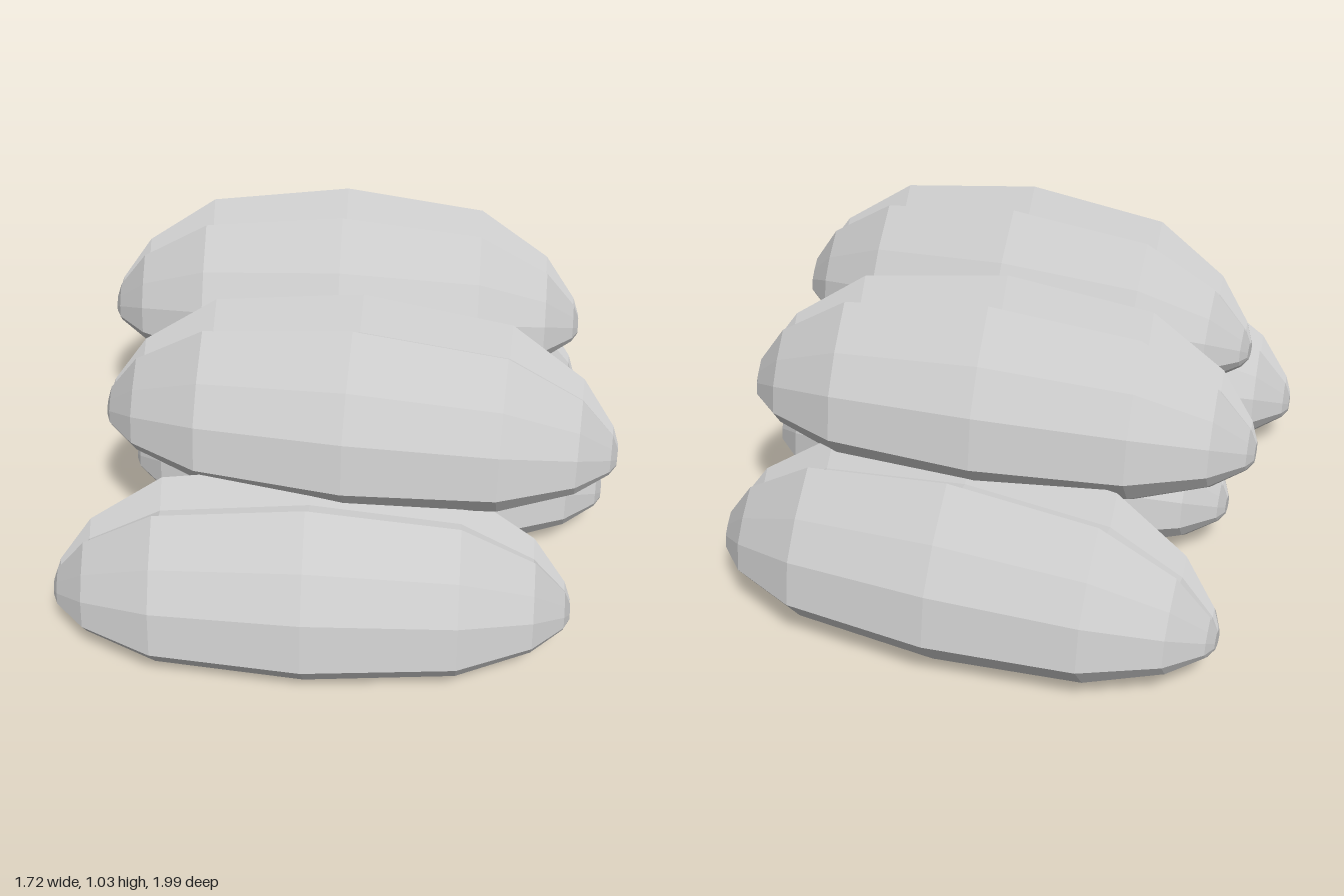
import * as THREE from 'three';

// Half cross-section at the middle of a roll: [z, y], from base up to the slit floor
const HALF = [
  [0.13, 0.0], [0.25, 0.08], [0.335, 0.19], [0.305, 0.35],
  [0.225, 0.48], [0.105, 0.617], [0.035, 0.525],
];
const RING = [...HALF, ...HALF.map(([z, y]) => [-z, y]).reverse()];

// Half of the length: [x, section scale, height of the widest line]
const ENDS = [[0.455, 0.87, 0.19], [0.68, 0.54, 0.185], [0.78, 0.23, 0.178], [0.8, 0.1, 0.175]];
const STATIONS = [
  ...ENDS.map(([x, s, y]) => [-x, s, y]).reverse(),
  [0, 1, 0.19],
  ...ENDS,
];

// Lofts the slit section along the length and closes both blunt tips
function rollGeometry() {
  const n = RING.length;
  const last = STATIONS.length - 1;
  const positions = [];
  const index = [];
  for (const [x, s, mid] of STATIONS) {
    for (const [z, y] of RING) positions.push(x, mid + (y - 0.19) * s, z * s);
  }
  for (let i = 0; i < last; i++) {
    for (let j = 0; j < n; j++) {
      const k = (j + 1) % n;
      const a = i * n + j, b = a + n, c = (i + 1) * n + k, d = i * n + k;
      index.push(a, b, c, a, c, d);
    }
  }
  const tipA = positions.length / 3;
  for (const i of [0, last]) positions.push(STATIONS[i][0], STATIONS[i][2], 0);
  for (let j = 0; j < n; j++) {
    const k = (j + 1) % n;
    index.push(tipA, j, k, tipA + 1, last * n + k, last * n + j);
  }
  const geometry = new THREE.BufferGeometry();
  geometry.setAttribute('position', new THREE.Float32BufferAttribute(positions, 3));
  geometry.setIndex(index);
  const flat = geometry.toNonIndexed();
  flat.computeVertexNormals();
  return flat;
}

export function createModel() {
  const group = new THREE.Group();
  group.name = 'stackedRolls';
  const crust = new THREE.MeshStandardMaterial({ color: 0xcccccc });
  crust.name = 'crust';
  crust.flatShading = true;
  const geometry = rollGeometry();

  // Three rolls below, two above, each slightly turned: name, x, y, z, yaw
  const rolls = [
    ['lowerFrontRoll', -0.055, 0, 0.662, 0.045],
    ['lowerMiddleRoll', 0.05, 0, 0, -0.02],
    ['lowerBackRoll', -0.043, 0, -0.662, -0.05],
    ['upperFrontRoll', 0.057, 0.415, 0.335, -0.05],
    ['upperBackRoll', -0.06, 0.415, -0.335, 0.025],
  ];
  for (const [name, x, y, z, yaw] of rolls) {
    const roll = new THREE.Mesh(geometry, crust);
    roll.name = name;
    roll.position.set(x, y, z);
    roll.rotation.y = yaw;
    group.add(roll);
  }
  return group;
}
